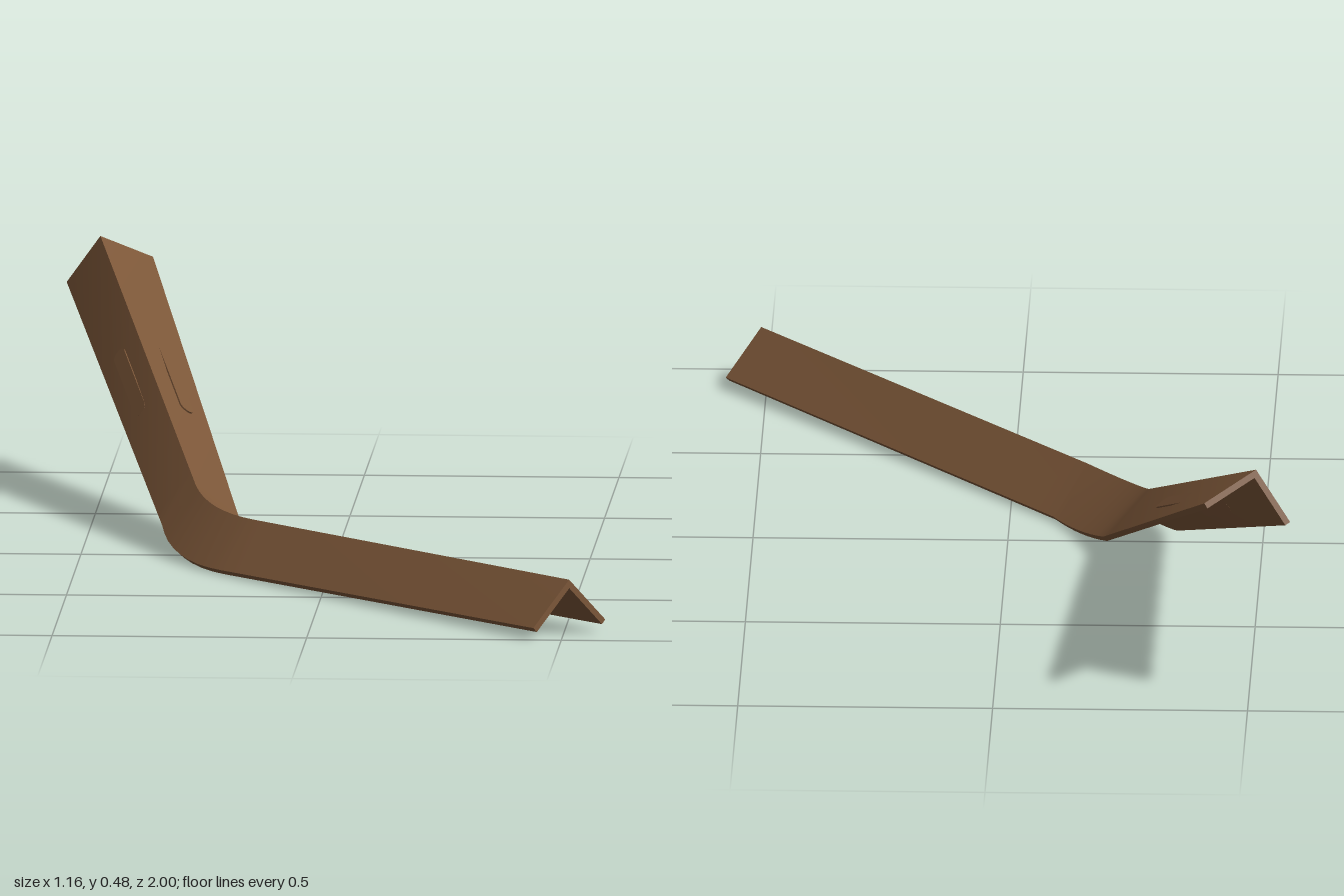
import * as THREE from 'three';

const V = (x, y, z) => new THREE.Vector3(x, y, z);
const T = 0.012; // flange thickness

// Key stations of the bent angle bar: ridge, right-hand edge, left-hand edge
const FRONT = [V(0.512, 0.11, 0.937), V(0.58, 0.023, 0.884), V(0.445, 0.023, 0.998)];
const BEND_A = [V(-0.15, 0.1, 0.175), V(-0.085, 0.009, 0.117), V(-0.213, 0.009, 0.235)];
const BEND_M = [V(-0.232, 0.106, 0.055), V(-0.137, 0.016, 0.018), V(-0.3, 0.016, 0.09)];
const BEND_B = [V(-0.278, 0.13, -0.06), V(-0.19, 0.044, -0.1), V(-0.343, 0.05, -0.05)];
const BACK = [V(-0.515, 0.48, -0.94), V(-0.415, 0.43, -1.0), V(-0.583, 0.383, -0.972)];

const mix = (a, b, t) => a.map((p, i) => p.clone().lerp(b[i], t));

// Smooth passage through the three bend stations
function bend(t) {
  return BEND_A.map((a, i) => {
    const b = BEND_B[i];
    const c = BEND_M[i].clone().multiplyScalar(2).addScaledVector(a, -0.5).addScaledVector(b, -0.5);
    return new THREE.QuadraticBezierCurve3(a, c, b).getPoint(t);
  });
}

// Six-cornered L section from a station
function section([apex, r, l]) {
  const dr = r.clone().sub(apex).normalize().multiplyScalar(T);
  const dl = l.clone().sub(apex).normalize().multiplyScalar(T);
  return [apex, r, r.clone().add(dl), apex.clone().add(dr).add(dl), l.clone().add(dr), l];
}

function barGeometry() {
  const stations = [FRONT, mix(FRONT, BEND_A, 0.5), mix(FRONT, BEND_A, 0.95)];
  for (let i = 0; i <= 8; i++) stations.push(bend(i / 8));
  stations.push(mix(BEND_B, BACK, 0.05), mix(BEND_B, BACK, 0.5), BACK);
  const rings = stations.map(section);
  const pos = [], idx = [];
  const add = (p) => pos.push(p.x, p.y, p.z) / 3 - 1;
  const quad = (a, b, c, d) => idx.push(a, b, c, a, c, d);
  // one strip per side keeps the long edges sharp
  for (let j = 0; j < 6; j++) {
    const pairs = rings.map((s) => [add(s[j]), add(s[(j + 1) % 6])]);
    for (let i = 0; i + 1 < pairs.length; i++) {
      quad(pairs[i][0], pairs[i][1], pairs[i + 1][1], pairs[i + 1][0]);
    }
  }
  // end caps
  const f = rings[0].map(add), b = rings[rings.length - 1].map(add);
  quad(f[3], f[2], f[1], f[0]);
  quad(f[5], f[4], f[3], f[0]);
  quad(b[0], b[1], b[2], b[3]);
  quad(b[0], b[3], b[4], b[5]);
  const g = new THREE.BufferGeometry();
  g.setAttribute('position', new THREE.Float32BufferAttribute(pos, 3));
  g.setIndex(idx);
  g.computeVertexNormals();
  return g;
}

// Rounded slot plate passing just through a flange of the raised leg
function slotPlate(side, length, material) {
  const [apex, r, l] = mix(BEND_B, BACK, 0.5);
  const edge = side > 0 ? r : l;
  const along = BACK[0].clone().sub(BEND_B[0]).normalize();
  const across = edge.clone().sub(apex).normalize();
  const normal = along.clone().cross(across).normalize();
  across.copy(normal).cross(along);
  const w = 0.016, h = length / 2 - w;
  const shape = new THREE.Shape();
  shape.absarc(h, 0, w, -Math.PI / 2, Math.PI / 2);
  shape.absarc(-h, 0, w, Math.PI / 2, Math.PI * 1.5);
  const g = new THREE.ExtrudeGeometry(shape, { depth: T + 0.006, bevelEnabled: false, curveSegments: 8 });
  g.translate(0, 0, -(T + 0.006) / 2);
  const inner = (side > 0 ? l : r).clone().sub(apex).normalize();
  const centre = apex.clone().lerp(edge, 0.52).addScaledVector(inner, T / 2);
  g.applyMatrix4(new THREE.Matrix4().makeBasis(along, across, normal).setPosition(centre));
  return new THREE.Mesh(g, material);
}

export function createModel() {
  const group = new THREE.Group();
  group.name = 'bentAngleBar';
  const brown = new THREE.MeshStandardMaterial({ color: 0x7b5638 });
  brown.name = 'brown';

  const bar = new THREE.Mesh(barGeometry(), brown);
  bar.name = 'angleBar';
  group.add(bar);

  const right = slotPlate(1, 0.28, brown);
  right.name = 'rightFlangeSlot';
  const left = slotPlate(-1, 0.24, brown);
  left.name = 'leftFlangeSlot';
  group.add(right, left);
  return group;
}
